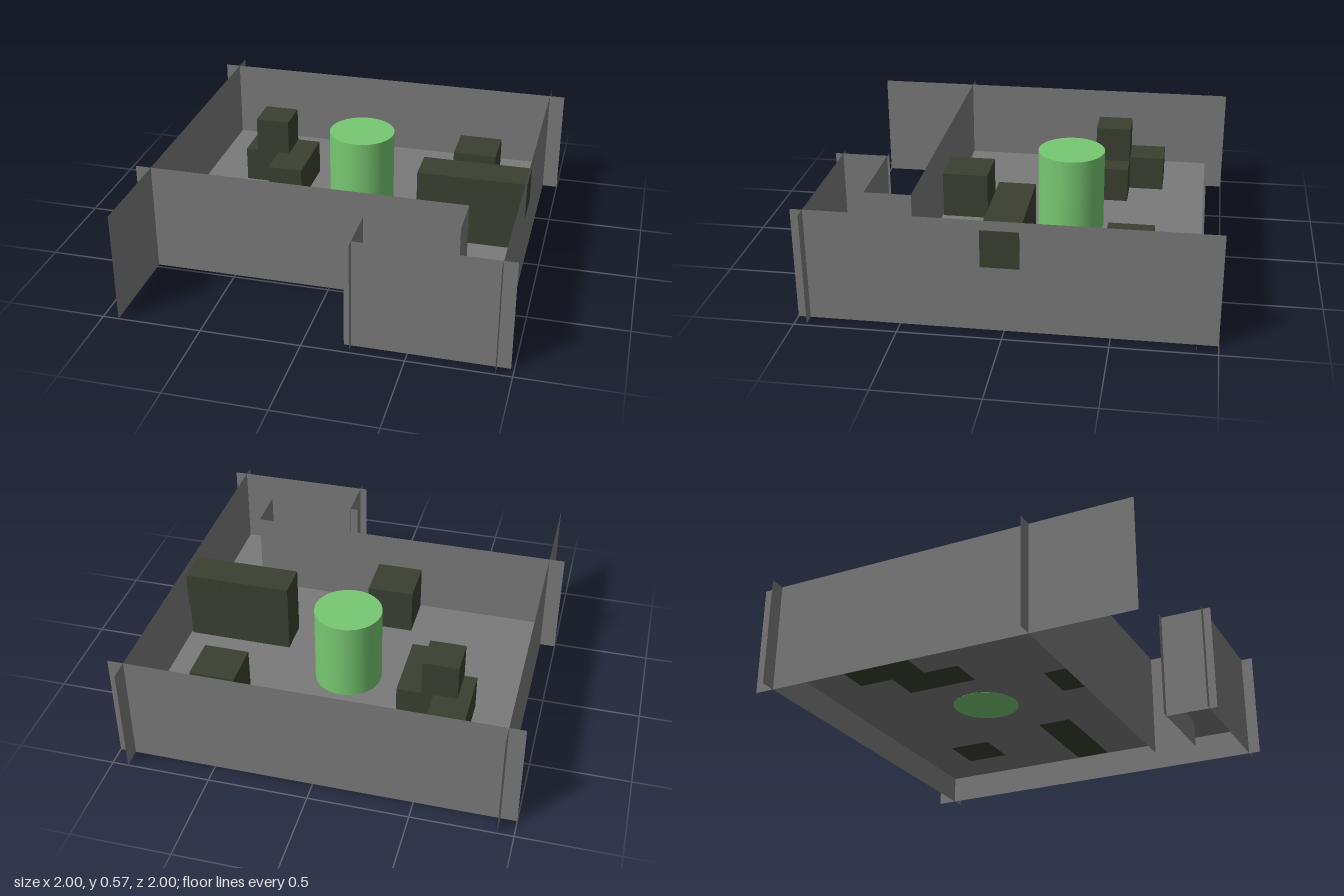
import * as THREE from 'three';

export function createModel() {
  const group = new THREE.Group();
  const grey = new THREE.MeshStandardMaterial({ color: 0x7a7a7a, side: THREE.DoubleSide });
  grey.name = 'wallGrey';
  const dark = new THREE.MeshStandardMaterial({ color: 0x3a4031 });
  dark.name = 'darkOlive';
  const green = new THREE.MeshStandardMaterial({ color: 0x78c872 });
  green.name = 'green';

  const FLOOR = 0.145, WALL_TOP = 0.567;

  function add(name, geometry, material) {
    const mesh = new THREE.Mesh(geometry, material);
    mesh.name = name;
    group.add(mesh);
    return mesh;
  }

  // Floor: main room with a hooked corridor at the front left
  const outline = [
    [-0.92, -0.9], [0.92, -0.9], [0.92, 0.94], [0.23, 0.94],
    [0.23, 0.71], [0.69, 0.71], [0.69, 0.48], [-0.92, 0.48],
  ].map(([x, z]) => new THREE.Vector2(x, -z));
  const floor = add('floor', new THREE.ShapeGeometry(new THREE.Shape(outline)), grey);
  floor.rotation.x = -Math.PI / 2;
  floor.position.y = FLOOR;

  // Thin walls, overlapping a little past the corners
  function wall(name, x0, z0, x1, z1) {
    const geo = new THREE.PlaneGeometry(Math.hypot(x1 - x0, z1 - z0), WALL_TOP);
    const mesh = add(name, geo, grey);
    mesh.position.set((x0 + x1) / 2, WALL_TOP / 2, (z0 + z1) / 2);
    mesh.rotation.y = Math.atan2(z0 - z1, x1 - x0);
  }
  wall('backWall', -1, -0.9, 1, -0.9);
  wall('leftWall', 0.92, 1, 0.92, -1);
  wall('rightWall', -0.92, 1, -0.92, -1);
  wall('roomFrontWall', -1, 0.48, 0.69, 0.48);
  wall('corridorSideWall', 0.69, 0.48, 0.69, 0.71);
  wall('corridorInnerWall', 0.19, 0.71, 0.69, 0.71);
  wall('corridorEndWall', 0.23, 0.98, 0.23, 0.70);
  wall('corridorFrontWall', 0.195, 0.94, 0.985, 0.94);

  // Blocks given by their extents
  function block(name, x0, x1, y0, y1, z0, z1) {
    const mesh = add(name, new THREE.BoxGeometry(x1 - x0, y1 - y0, z1 - z0), dark);
    mesh.position.set((x0 + x1) / 2, (y0 + y1) / 2, (z0 + z1) / 2);
  }
  const base = FLOOR - 0.001, low = 0.33, high = 0.517;

  // Stacked crates
  block('crateBack', -0.685, -0.5, base, low, -0.67, -0.485);
  block('crateMiddleRight', -0.685, -0.5, base, low, -0.485, -0.3);
  block('crateMiddleLeft', -0.5, -0.315, base, low, -0.485, -0.3);
  block('crateFront', -0.5, -0.315, base, low, -0.3, -0.112);
  block('crateTop', -0.62, -0.44, low, high, -0.484, -0.3);

  // Single crates
  block('crateCorner', 0.46, 0.69, base, 0.377, -0.67, -0.442);
  block('crateByFrontWall', -0.235, 0.005, base, 0.387, 0.235, 0.475);

  // Long barrier meeting the left wall
  block('barrier', 0.365, 0.912, base, high, -0.073, 0.11);
  block('barrierEnd', 0.735, 0.922, low, high + 0.001, -0.074, 0.111);

  // Round pillar
  const pillar = add('pillar', new THREE.CylinderGeometry(0.172, 0.172, 0.56 - base, 48), green);
  pillar.position.set(0, (0.56 + base) / 2, -0.21);

  return group;
}
